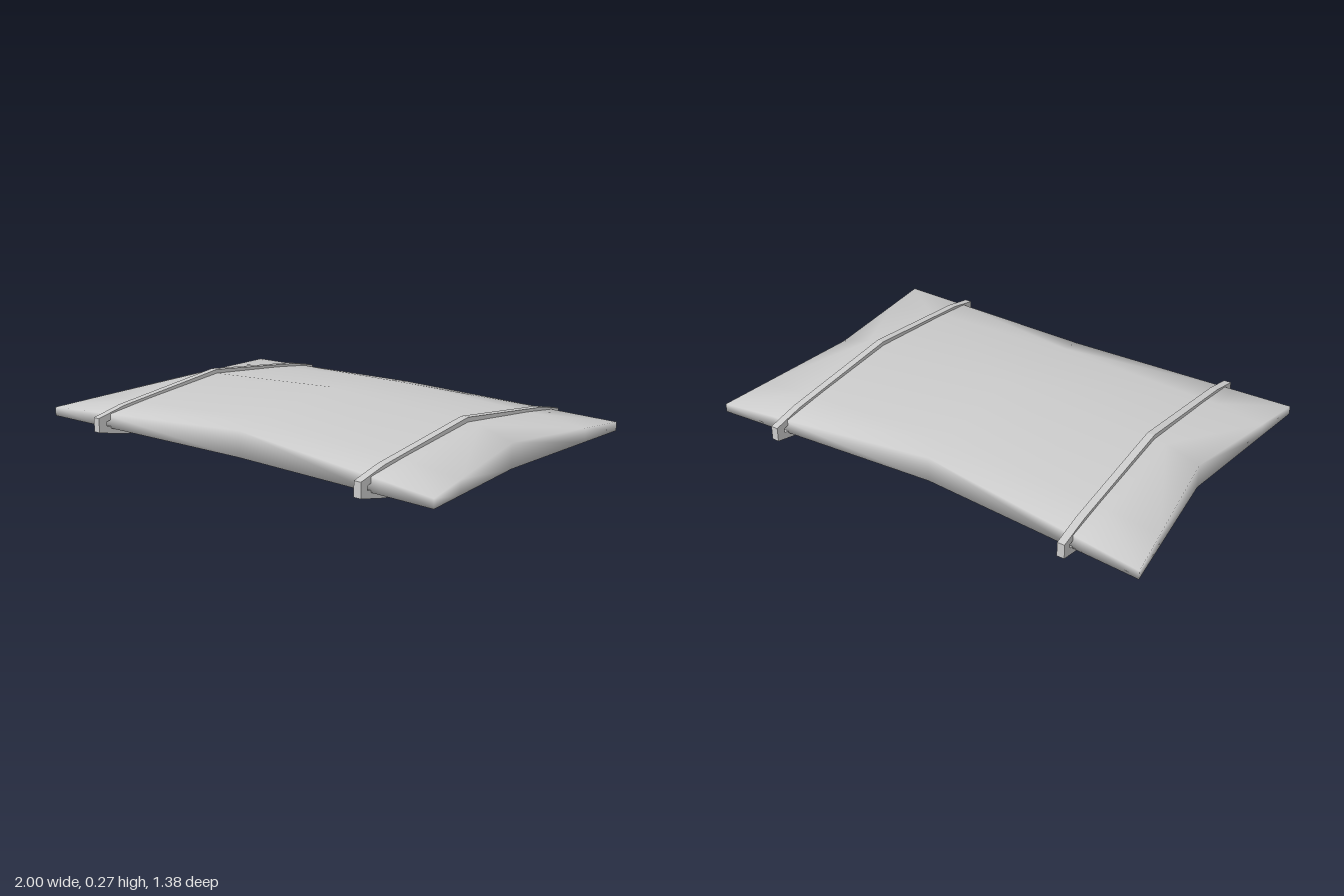
import * as THREE from 'three';

// Pillow grid: five columns by five rows, the outer ones forming the pinched rim
const U = [-1, -0.75, 0, 0.75, 1];
const V = [-1, -0.45, 0, 0.45, 1];
const lerp = THREE.MathUtils.lerp;

// Position of one grid corner on the upper (top = true) or lower skin
function pillowPoint(i, j, top) {
  const endCol = Math.abs(U[i]) === 1, endRow = Math.abs(V[j]) === 1;
  let x = U[i], z = V[j], y;
  if (endCol && endRow) {
    z *= 0.66;
    y = top ? 0.15 : 0.112;
  } else if (endCol) {
    const t = Math.abs(z) / 0.66;
    x *= lerp(0.9, 1, t);
    y = top ? lerp(0.185, 0.15, t) : lerp(0.08, 0.112, t);
  } else if (endRow) {
    const t = Math.abs(x);
    z *= lerp(0.56, 0.66, t);
    y = top ? lerp(0.195, 0.15, t) : lerp(0.085, 0.112, t);
  } else if (x && z) {
    y = top ? 0.185 : 0.075;
  } else if (x) {
    y = top ? 0.23 : 0.035;
  } else if (z) {
    y = top ? 0.217 : 0.07;
  } else {
    y = top ? 0.27 : 0.03;
  }
  return [x, y, z];
}

function pillowGeometry() {
  const pos = [], index = [];
  for (const top of [true, false])
    for (let j = 0; j < 5; j++)
      for (let i = 0; i < 5; i++) pos.push(...pillowPoint(i, j, top));
  const id = (i, j, top) => (top ? 0 : 25) + j * 5 + i;

  // Upper and lower skins, with diagonals running towards the middle
  for (const top of [true, false])
    for (let j = 0; j < 4; j++)
      for (let i = 0; i < 4; i++) {
        const a = id(i, j, top), b = id(i, j + 1, top);
        const c = id(i + 1, j + 1, top), d = id(i + 1, j, top);
        const tris = (i < 2) === (j < 2) ? [a, b, c, a, c, d] : [a, b, d, b, c, d];
        index.push(...(top ? tris : tris.reverse()));
      }

  // Narrow edge band joining both skins
  const rim = [];
  for (let k = 0; k < 4; k++) rim.push([k, 4]);
  for (let k = 4; k > 0; k--) rim.push([4, k]);
  for (let k = 4; k > 0; k--) rim.push([k, 0]);
  for (let k = 0; k < 4; k++) rim.push([0, k]);
  rim.forEach(([i, j], k) => {
    const [m, n] = rim[(k + 1) % rim.length];
    const a = id(i, j, true), b = id(i, j, false), c = id(m, n, false), d = id(m, n, true);
    index.push(a, b, c, a, c, d);
  });

  const geo = new THREE.BufferGeometry();
  geo.setAttribute('position', new THREE.Float32BufferAttribute(pos, 3));
  geo.setIndex(index);
  geo.computeVertexNormals();
  return geo;
}

// Strap: a flat closed band around the pillow, profile given for one half
function strapGeometry() {
  const loop = (half) => {
    const mirrored = half.slice(1, -1).reverse().map(([z, y]) => [-z, y]);
    return [...half, ...mirrored].map(([z, y]) => new THREE.Vector2(z, y));
  };
  const shape = new THREE.Shape(loop([[0, 0.252], [0.55, 0.188], [0.69, 0.157],
    [0.69, 0.095], [0.55, 0.063], [0, 0]]));
  shape.holes.push(new THREE.Path(loop([[0, 0.222], [0.54, 0.158], [0.65, 0.135],
    [0.65, 0.117], [0.54, 0.093], [0, 0.03]])));
  const geo = new THREE.ExtrudeGeometry(shape, { depth: 0.032, bevelEnabled: false });
  geo.translate(0, 0, -0.016);
  geo.rotateY(Math.PI / 2);
  // The band bows slightly inwards across the middle
  const p = geo.attributes.position;
  for (let k = 0; k < p.count; k++)
    p.setX(k, p.getX(k) + 0.012 * Math.abs(p.getZ(k)) / 0.69);
  geo.computeVertexNormals();
  return geo;
}

export function createModel() {
  const group = new THREE.Group();
  const material = new THREE.MeshStandardMaterial({ color: 0xcccccc, side: THREE.DoubleSide });

  const pillow = new THREE.Mesh(pillowGeometry(), material);
  pillow.name = 'pillow';
  group.add(pillow);

  // One strap near each end; the right one is the left one turned about
  for (const side of [1, -1]) {
    const strap = new THREE.Mesh(strapGeometry(), material);
    strap.name = side > 0 ? 'leftStrap' : 'rightStrap';
    strap.position.x = side * 0.682;
    if (side < 0) strap.rotation.y = Math.PI;
    group.add(strap);
  }
  return group;
}
